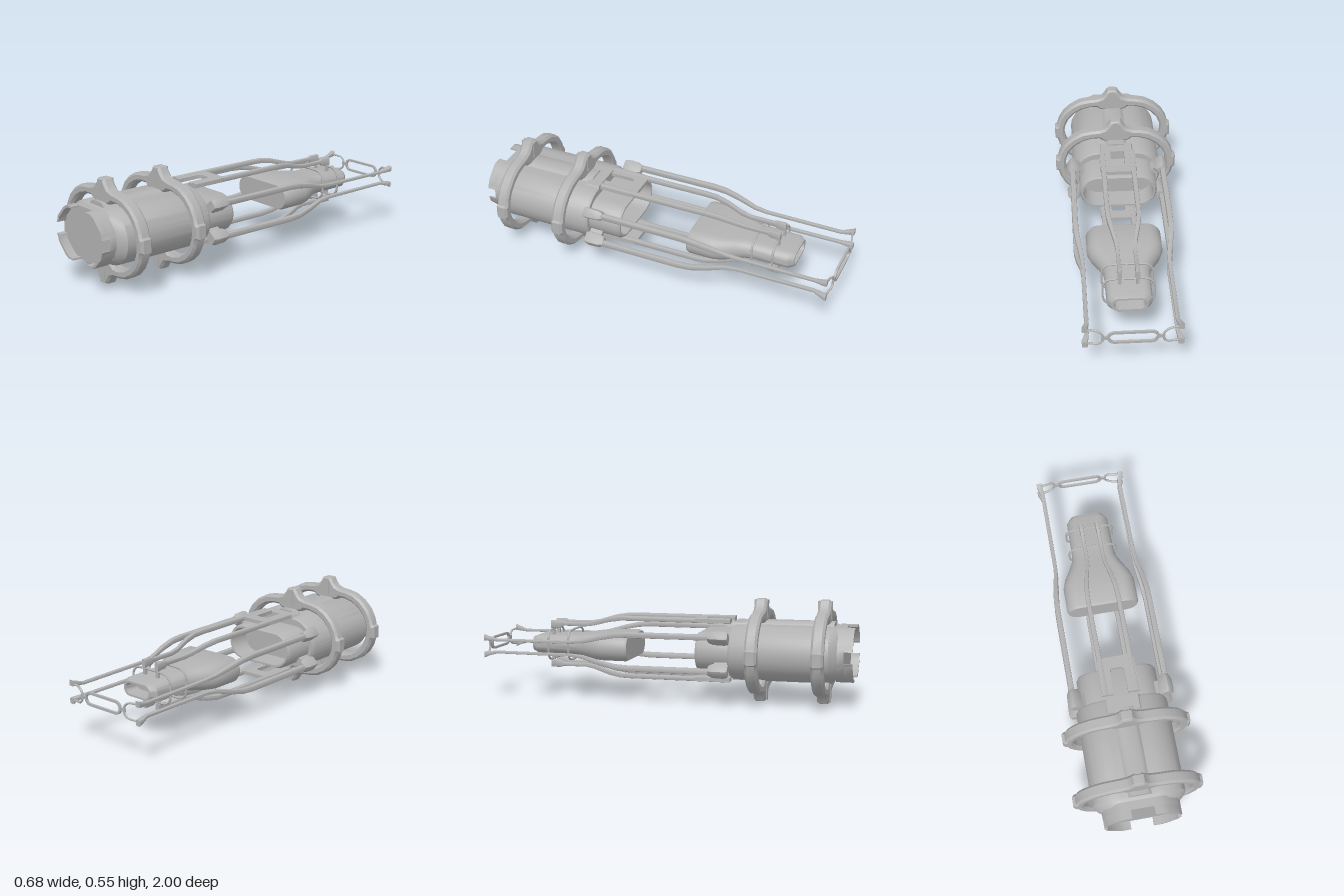
import * as THREE from 'three';
import { toCreasedNormals } from 'three/addons/utils/BufferGeometryUtils.js';

const CY = 0.275; // height of the long axis
const SIDES = [1, -1];

export function createModel() {
  const model = new THREE.Group();
  model.name = 'satelliteProbe';
  const grey = new THREE.MeshStandardMaterial({ color: 0xb2b2b2 });
  grey.name = 'plain grey';

  const add = (name, geo, x = 0, y = 0, z = 0) => {
    const mesh = new THREE.Mesh(toCreasedNormals(geo, 0.6), grey);
    mesh.name = name;
    mesh.position.set(x, CY + y, z);
    model.add(mesh);
    return mesh;
  };

  // Rounded rectangle outline, counter-clockwise seen from +z
  const outline = (hw, hh, r, steps) => {
    const pts = [];
    [[1, 1], [-1, 1], [-1, -1], [1, -1]].forEach(([sx, sy], q) => {
      for (let i = 0; i <= steps; i++) {
        const a = (q + i / steps) * Math.PI / 2;
        pts.push([sx * (hw - r) + r * Math.cos(a), sy * (hh - r) + r * Math.sin(a)]);
      }
    });
    return pts;
  };

  // Skin over sections [z, halfWidth, halfHeight, radius, centreX, centreY]
  const loft = (sections, steps = 8) => {
    const pos = [], index = [], n = 4 * (steps + 1);
    sections.forEach(([z, hw, hh, r = Math.min(hw, hh), cx = 0, cy = 0], s) => {
      outline(hw, hh, r, steps).forEach(([x, y]) => pos.push(x + cx, y + cy, z));
      if (!s) return;
      for (let k = 0; k < n; k++) {
        const a = (s - 1) * n + k, b = (s - 1) * n + (k + 1) % n;
        index.push(a, b, b + n, a, b + n, a + n);
      }
    });
    const geo = new THREE.BufferGeometry();
    geo.setAttribute('position', new THREE.Float32BufferAttribute(pos, 3));
    geo.setIndex(index);
    return geo;
  };

  // Bar with closed ends; points are [z, x, y, halfWidth, halfHeight], z rising
  const bar = (pts) => {
    const secs = pts.map(([z, x, y, hw, hh]) => [z, hw, hh, Math.min(hw, hh) * 0.4, x, y]);
    const cap = (s) => [s[0], 0, 0, 0, s[4], s[5]];
    return loft([cap(secs[0]), ...secs, cap(secs[secs.length - 1])], 2);
  };

  const toShape = (pts) => new THREE.Shape(pts.map(([x, y]) => new THREE.Vector2(x, y)));
  const extrude = (shape, depth, bevel = 0) => new THREE.ExtrudeGeometry(shape, {
    depth: depth - 2 * bevel, bevelEnabled: bevel > 0, bevelSize: bevel, bevelThickness: bevel,
    bevelOffset: -bevel, bevelSegments: 1, curveSegments: 10,
  }).translate(0, 0, bevel - depth / 2);

  // Main hull with hollow rear collar
  add('hull', loft([
    [0.30, 0.10, 0], [0.30, 0.19, 0.08], [0.18, 0.195, 0.085], [0.18, 0.205, 0.095],
    [0.195, 0.215, 0.102], [0.36, 0.215, 0.102], [0.36, 0.235, 0.135], [0.375, 0.245, 0.143],
    [0.88, 0.245, 0.143], [0.905, 0.225, 0.135], [0.92, 0.205, 0.13], [0.92, 0.08, 0],
  ], 10));

  // Front cap plate and the four raised corner walls around it
  const capQuarter = [[0.06, 0.14], [0.105, 0.14], [0.135, 0.122], [0.188, 0.068], [0.194, 0.045], [0.203, 0.03]];
  const full = (q) => {
    const m = (sx, sy) => q.map(([x, y]) => [sx * x, sy * y]);
    return [...m(1, 1).reverse(), ...m(-1, 1), ...m(-1, -1).reverse(), ...m(1, -1)];
  };
  add('frontCap', extrude(toShape(full(capQuarter)), 0.045), 0, 0, 0.9325);
  for (const sx of SIDES) for (const sy of SIDES) {
    const inner = capQuarter.map(([x, y], i) => [x - (i ? 0.01 : 0), y - (i < 5 ? 0.01 : 0)]).reverse();
    const wall = [...capQuarter, ...inner].map(([x, y]) => [sx * x, sy * y]);
    add('capWall', extrude(toShape(wall), 0.05), 0, 0, 0.975);
  }

  // Spine ridges and rear bosses on the top and bottom of the hull
  for (const s of SIDES) {
    const ridge = [[-0.07, 0.13], [0.07, 0.13], [0.055, 0.15], [0.038, 0.161], [-0.038, 0.161], [-0.055, 0.15]];
    add('spineRidge', extrude(toShape(ridge.map(([x, y]) => [x, s * y])), 0.47), 0, 0, 0.655);
    const boss = [[-0.1, 0.13], [0.1, 0.13], [0.085, 0.153], [-0.085, 0.153]];
    add('rearBoss', extrude(toShape(boss.map(([x, y]) => [x, s * y])), 0.08), 0, 0, 0.4);
  }

  // Two guard rings with finned tops and bottoms
  const ringOuter = [
    [0.018, 0.275], [0.028, 0.272], [0.042, 0.248], [0.06, 0.228], [0.095, 0.217], [0.14, 0.213], [0.19, 0.203],
    [0.245, 0.173], [0.29, 0.13], [0.318, 0.08], [0.328, 0.042], [0.342, 0.035],
  ];
  const ringInner = [
    [0.05, 0.148], [0.075, 0.155], [0.09, 0.168], [0.13, 0.168], [0.18, 0.154], [0.225, 0.127],
    [0.262, 0.087], [0.28, 0.045], [0.285, 0.015],
  ];
  for (const z of [0.835, 0.497]) {
    const ring = toShape(full(ringOuter));
    ring.holes.push(toShape(full(ringInner)));
    add('guardRing', extrude(ring, 0.066, 0.012), 0, 0, z);
    for (const s of SIDES) {
      add('ringRib', new THREE.BoxGeometry(0.034, 0.094, 0.074), 0, s * 0.222, z);
      add('ringFoot', new THREE.BoxGeometry(0.1, 0.02, 0.06), 0, s * 0.15, z);
    }
  }

  // Rear pod: shoulder, neck and recessed tail
  add('rearPod', loft([
    [-0.69, 0.04, 0], [-0.69, 0.075, 0.025], [-0.765, 0.08, 0.03], [-0.765, 0.092, 0.04],
    [-0.735, 0.115, 0.05], [-0.54, 0.118, 0.052], [-0.5, 0.126, 0.055], [-0.45, 0.15, 0.061], [-0.4, 0.18, 0.067],
    [-0.35, 0.197, 0.07], [-0.215, 0.198, 0.071], [-0.2, 0.19, 0.065], [-0.2, 0.12, 0],
  ]));

  // Wire clamps around the pod neck
  for (const z of [-0.66, -0.545]) {
    const path = new THREE.CatmullRomCurve3(
      outline(0.13, 0.08, 0.05, 4).map(([x, y]) => new THREE.Vector3(x, y, 0)), true);
    add('podClamp', new THREE.TubeGeometry(path, 64, 0.006, 6, true), 0, 0, z);
  }

  for (const sy of SIDES) {
    // Forked plate between the paired centre rails
    const plate = toShape([[-0.1, -0.345], [-0.038, -0.345], [-0.038, -0.22], [-0.028, -0.205], [0.028, -0.205],
      [0.038, -0.22], [0.038, -0.345], [0.1, -0.345], [0.1, -0.18], [0.092, -0.14], [-0.092, -0.14], [-0.1, -0.18]]);
    add('forkPlate', extrude(plate, 0.02).rotateX(-Math.PI / 2), 0, sy * 0.157, 0);

    for (const sx of SIDES) {
      // Paired centre rails, dipping towards the pod neck
      add('centreRail', bar([
        [-0.67, 0.045, 0.108, 0.011, 0.022], [-0.615, 0.045, 0.11, 0.01, 0.02], [-0.6, 0.045, 0.112, 0.009, 0.011],
        [-0.47, 0.045, 0.112, 0.009, 0.011], [-0.42, 0.049, 0.12, 0.01, 0.012], [-0.33, 0.068, 0.145, 0.011, 0.013],
        [-0.26, 0.079, 0.156, 0.012, 0.013], [-0.2, 0.082, 0.157, 0.012, 0.013], [0.345, 0.082, 0.157, 0.014, 0.013],
      ].map(([z, x, y, w, h]) => [z, sx * x, sy * y, w, h])));
      add('railFoot', new THREE.BoxGeometry(0.016, 0.07, 0.016), sx * 0.045, sy * 0.075, -0.66);

      // Long outer rails with a flared tail spike
      add('outerRail', bar([
        [-0.988, 0.232, 0.047, 0.014, 0.016], [-0.97, 0.231, 0.042, 0.015, 0.012], [-0.92, 0.22, 0.033, 0.01, 0.007],
        [-0.5, 0.221, 0.035, 0.01, 0.008], [-0.43, 0.225, 0.042, 0.011, 0.01], [-0.33, 0.241, 0.068, 0.013, 0.013],
        [-0.25, 0.249, 0.084, 0.014, 0.014], [-0.18, 0.25, 0.089, 0.014, 0.015], [0.3, 0.25, 0.089, 0.014, 0.015],
      ].map(([z, x, y, w, h]) => [z, sx * x, sy * y, w, h])));

      // Angled brackets joining the outer rails to the collar
      const bracket = add('railBracket', bar([
        [0.26, 0, 0, 0.022, 0.018], [0.285, 0, 0, 0.032, 0.026], [0.345, 0, 0, 0.034, 0.028], [0.365, 0, 0, 0.028, 0.024],
      ]), sx * 0.243, sy * 0.085, 0);
      bracket.rotation.z = sx * sy * 0.65;
      const arm = add('bracketArm', new THREE.BoxGeometry(0.07, 0.03, 0.07), sx * 0.205, sy * 0.065, 0.32);
      arm.rotation.z = sx * sy * 0.65;
    }
  }

  // Tail frame: slotted link and the side yokes that hold it
  const link = toShape(outline(0.125, 0.036, 0.036, 8));
  link.holes.push(toShape(outline(0.113, 0.024, 0.024, 8)));
  add('tailLink', extrude(link, 0.012), 0, 0, -0.994);
  for (const sx of SIDES) {
    const path = new THREE.CatmullRomCurve3([
      [0.228, 0.042, -0.982], [0.195, 0.042, -0.984], [0.165, 0.036, -0.992], [0.148, 0.018, -0.994],
      [0.148, -0.018, -0.994], [0.165, -0.036, -0.992], [0.195, -0.042, -0.984], [0.228, -0.042, -0.982],
    ].map(([x, y, z]) => new THREE.Vector3(sx * x, y, z)));
    add('tailYoke', new THREE.TubeGeometry(path, 32, 0.006, 6));
    add('tailJoint', new THREE.BoxGeometry(0.035, 0.018, 0.01), sx * 0.136, 0, -0.994);
  }
  return model;
}
